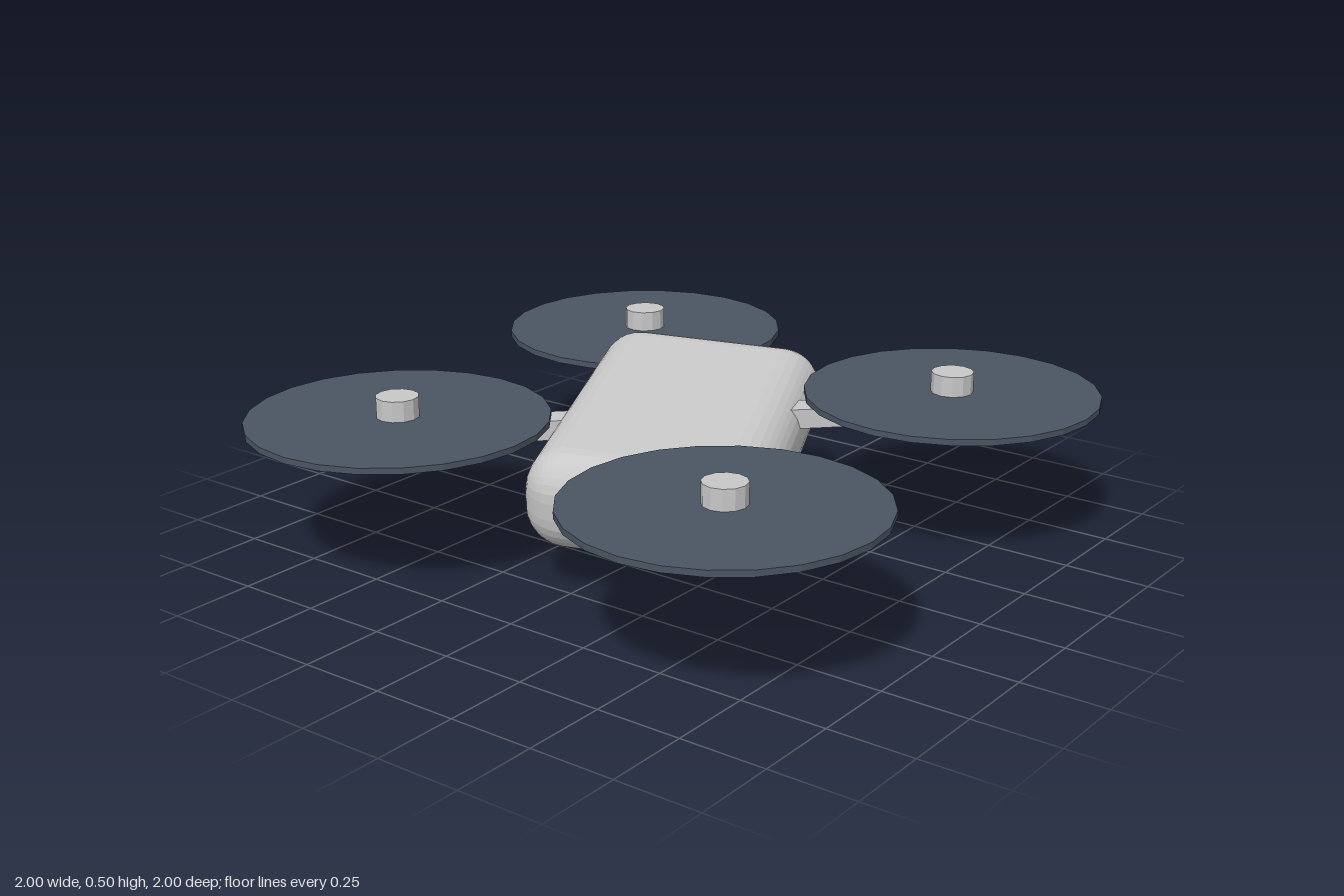
import * as THREE from 'three';
import { RoundedBoxGeometry } from 'three/addons/geometries/RoundedBoxGeometry.js';

const shell = new THREE.MeshStandardMaterial({ color: 0xc8c8c8, flatShading: true });
shell.name = 'lightGrey';
const dark = new THREE.MeshStandardMaterial({ color: 0x4b5563, flatShading: true });
dark.name = 'slate';

const ROTOR = 0.567; // rotor offset from the centre on x and z

function add(parent, name, geometry, material, x = 0, y = 0, z = 0) {
  const mesh = new THREE.Mesh(geometry, material);
  mesh.name = name;
  mesh.position.set(x, y, z);
  parent.add(mesh);
  return mesh;
}

export function createModel() {
  const drone = new THREE.Group();
  drone.name = 'quadcopter';

  // Rounded hull, turned and slightly banked
  const body = add(drone, 'body', new RoundedBoxGeometry(0.674, 0.29, 1.05, 4, 0.12), shell, 0, 0.3, 0);
  body.rotation.set(0.105, 0.419, -0.055, 'YXZ');

  // Camera pod under the hull
  add(drone, 'cameraPod', new THREE.CylinderGeometry(0.11, 0.11, 0.24, 16), dark, 0, 0.12, 0);

  // Four arms, each with a rotor disc and a hub
  const reach = ROTOR * Math.SQRT2;
  const armGeometry = new THREE.BoxGeometry(0.085, 0.058, reach);
  const discGeometry = new THREE.CylinderGeometry(0.432, 0.432, 0.018, 24);
  const hubGeometry = new THREE.CylinderGeometry(0.062, 0.062, 0.082, 12);
  for (const sx of [-1, 1]) {
    for (const sz of [-1, 1]) {
      const unit = new THREE.Group();
      unit.name = (sz > 0 ? 'front' : 'back') + (sx > 0 ? 'Left' : 'Right') + 'Rotor';
      const x = sx * ROTOR, z = sz * ROTOR;
      const arm = add(unit, 'arm', armGeometry, shell, x / 2, 0.369, z / 2);
      arm.rotation.y = Math.atan2(sx, sz);
      add(unit, 'rotorDisc', discGeometry, dark, x, 0.411, z);
      add(unit, 'hub', hubGeometry, shell, x, 0.439, z);
      drone.add(unit);
    }
  }
  return drone;
}
